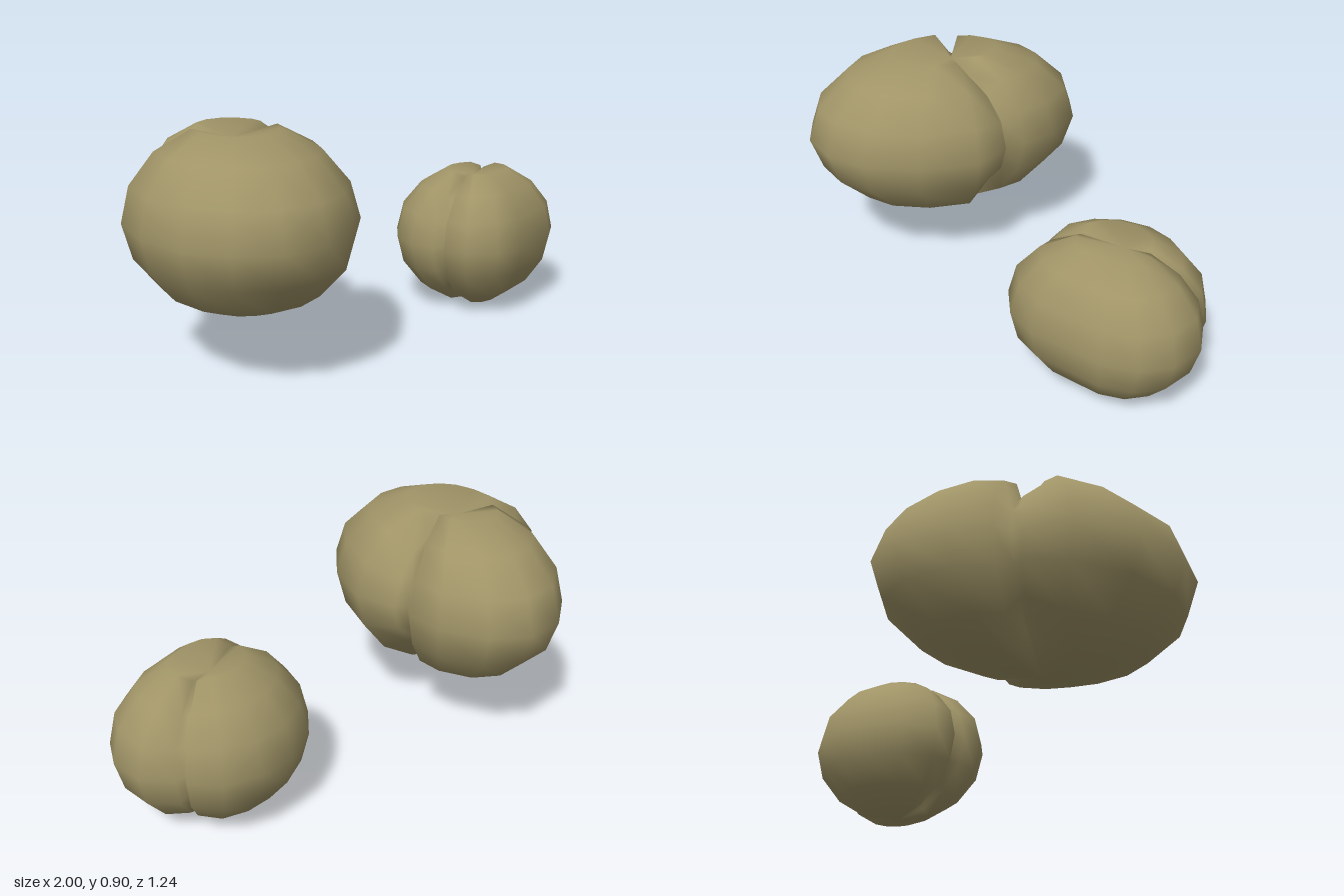
import * as THREE from 'three';

// Width of each level relative to the widest outline
const WIDTHS = [0.38, 0.7, 0.92, 1, 0.92, 0.7, 0.38];

// Rounded body with clefts: outline is [x, z, heightFactor], going from +x towards +z
function cleftBody({ center, levels, middle, top, bottom, outline }) {
  const [cx, cz] = center;
  const n = outline.length;
  const pos = [cx, top[0], cz + top[1]];
  levels.forEach((y, i) => {
    for (const [x, z, k = 1] of outline) {
      pos.push(cx + x * WIDTHS[i], middle + (y - middle) * k, cz + z * WIDTHS[i]);
    }
  });
  pos.push(cx, bottom[0], cz + bottom[1]);
  const last = pos.length / 3 - 1;
  const index = [];
  const at = (i, j) => 1 + i * n + (j % n);
  for (let j = 0; j < n; j++) {
    index.push(0, at(0, j + 1), at(0, j));
    for (let i = 0; i < levels.length - 1; i++) {
      const a = at(i, j), b = at(i + 1, j), c = at(i, j + 1), d = at(i + 1, j + 1);
      index.push(a, c, b, b, c, d);
    }
    index.push(last, at(levels.length - 1, j), at(levels.length - 1, j + 1));
  }
  const geo = new THREE.BufferGeometry();
  geo.setAttribute('position', new THREE.Float32BufferAttribute(pos, 3));
  geo.setIndex(index);
  geo.computeVertexNormals();
  return geo;
}

export function createModel() {
  const group = new THREE.Group();
  group.name = 'cleftStones';
  const tan = new THREE.MeshStandardMaterial({ color: 0xa09467 });
  tan.name = 'tan';

  // Large body: half outline from back to front, mirrored across x
  const half = [
    [0, -0.59], [0.16, -0.54], [0.29, -0.39], [0.33, -0.24],
    [0.3, -0.165, 0.74], [0.35, -0.15, 0.76], [0.44, 0],
    [0.41, 0.25], [0.31, 0.46], [0.17, 0.575], [0, 0.62],
  ];
  const mirrored = half.slice(1, -1).reverse().map(([x, z, k]) => [-x, z, k]);
  const large = new THREE.Mesh(cleftBody({
    center: [-0.56, 0], middle: 0.57,
    levels: [0.905, 0.83, 0.71, 0.57, 0.43, 0.305, 0.23],
    top: [0.86, -0.02], bottom: [0.19, 0.03],
    outline: [...half, ...mirrored],
  }), tan);
  large.name = 'largeBody';
  group.add(large);

  // Small body: two near-equal lobes split by a diagonal cleft
  const small = new THREE.Mesh(cleftBody({
    center: [0.62, -0.26], middle: 0.31,
    levels: [0.605, 0.535, 0.435, 0.31, 0.19, 0.085, 0.015],
    top: [0.57, -0.04], bottom: [0.003, 0],
    outline: [
      [-0.37, -0.06], [-0.31, -0.2], [-0.2, -0.31], [-0.06, -0.36], [0.08, -0.36],
      [0.19, -0.3, 0.95], [0.18, -0.245, 0.82], [0.22, -0.27, 0.93],
      [0.33, -0.2], [0.38, -0.07], [0.36, 0.06], [0.28, 0.17], [0.04, 0.33],
      [-0.09, 0.36], [-0.22, 0.32], [-0.28, 0.23, 0.95],
      [-0.25, 0.175, 0.82], [-0.31, 0.18, 0.93], [-0.37, 0.09],
    ],
  }), tan);
  small.name = 'smallBody';
  group.add(small);
  return group;
}
